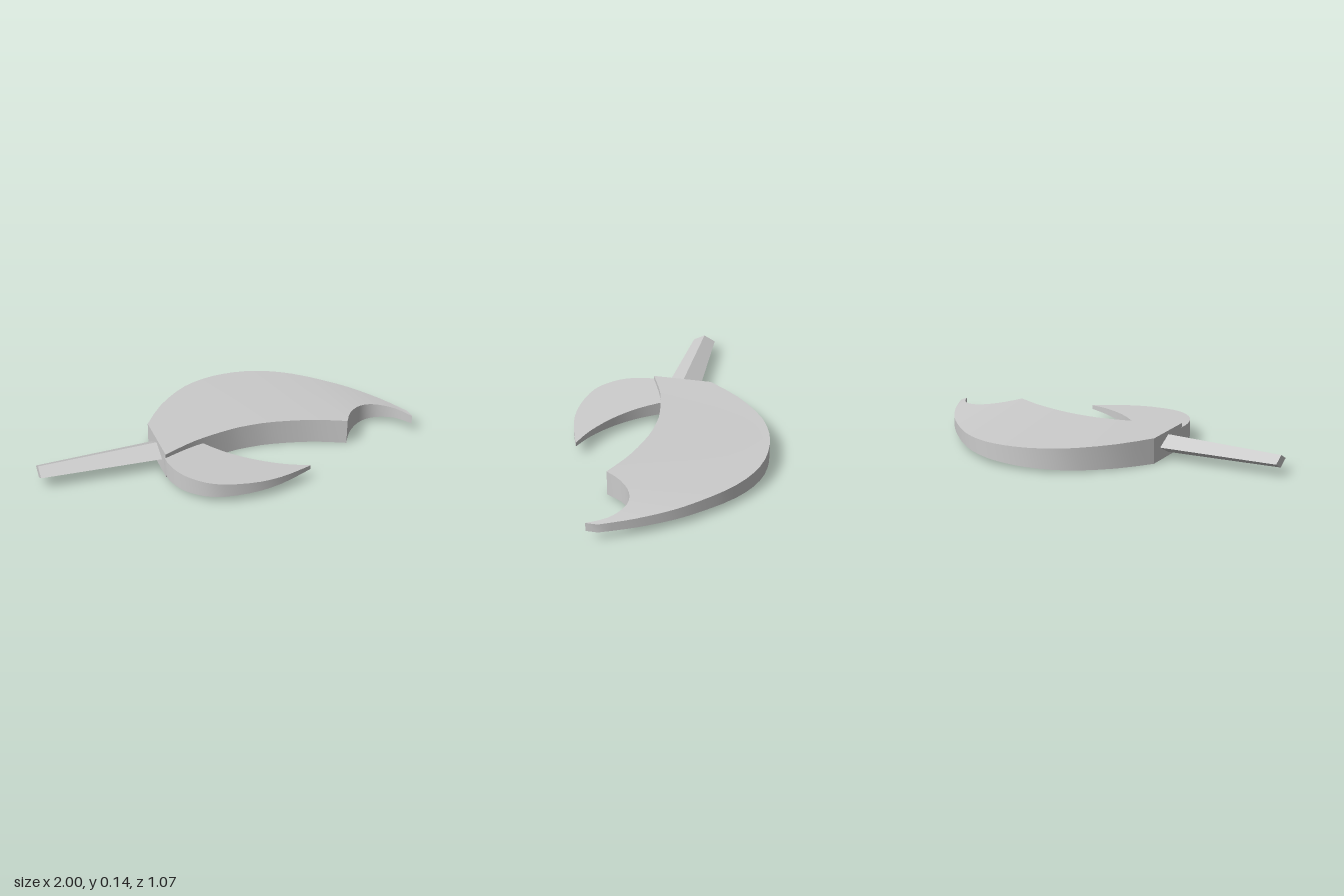
import * as THREE from 'three';
import { toCreasedNormals } from 'three/addons/utils/BufferGeometryUtils.js';

const MID = 0.0675; // height of the flat symmetry plane
const material = new THREE.MeshStandardMaterial({ color: 0xcccccc });

// Closed skin through four-cornered rings of [x, y, z], capped at both ends.
function loft(name, rings) {
  const pos = [];
  const tri = (...pts) => pts.forEach((p) => pos.push(...p));
  for (let s = 0; s < rings.length - 1; s++) {
    const a = rings[s], b = rings[s + 1];
    for (let i = 0; i < 4; i++) {
      const j = (i + 1) % 4;
      tri(a[i], b[i], a[j]);
      tri(b[i], b[j], a[j]);
    }
  }
  const a = rings[0], b = rings[rings.length - 1];
  tri(a[0], a[1], a[2]);
  tri(a[0], a[2], a[3]);
  tri(b[0], b[2], b[1]);
  tri(b[0], b[3], b[2]);
  const geo = new THREE.BufferGeometry();
  geo.setAttribute('position', new THREE.Float32BufferAttribute(pos, 3));
  const mesh = new THREE.Mesh(toCreasedNormals(geo, Math.PI / 7), material);
  mesh.name = name;
  return mesh;
}

const spline = (pts) => new THREE.SplineCurve(pts.map(([x, z]) => new THREE.Vector2(x, z)));

// z of a plan curve at a given x
function curveAt(pts) {
  const p = spline(pts).getPoints(200);
  return (x) => {
    let i = 0;
    while (i < p.length - 2 && p[i + 1].x < x) i++;
    const t = THREE.MathUtils.clamp((x - p[i].x) / (p[i + 1].x - p[i].x), 0, 1);
    return p[i].y + (p[i + 1].y - p[i].y) * t;
  };
}

// Slab section between plan points p and q, with half thickness hp and hq
const slab = (p, hp, q, hq) => [
  [p.x, MID + hp, p.y], [q.x, MID + hq, q.y], [q.x, MID - hq, q.y], [p.x, MID - hp, p.y],
];

// Broad crescent blade: rim thins all the way, inner edge only past the notch
function makeBlade() {
  const rim = curveAt([[-0.38, -0.12], [-0.29, -0.25], [-0.2, -0.35], [-0.07, -0.455], [0.07, -0.515],
    [0.2, -0.535], [0.33, -0.527], [0.45, -0.49], [0.57, -0.42], [0.69, -0.315], [0.81, -0.185],
    [0.92, -0.02], [1, 0.14]]);
  const inner = curveAt([[-0.38, 0.2], [-0.2, 0.123], [0, 0.078], [0.12, 0.07], [0.25, 0.08], [0.45, 0.128], [0.62, 0.2]]);
  const notch = curveAt([[0.62, 0.2], [0.67, 0.12], [0.74, 0.06], [0.81, 0.04], [0.88, 0.058], [0.95, 0.112], [1, 0.2]]);
  const rings = [];
  const N = 16, M = 14;
  for (let i = 0; i <= N + M; i++) {
    const x = i <= N ? -0.38 + i / N : 0.62 + (0.38 * (i - N)) / M;
    const z = i <= N ? inner(x) : notch(x);
    const hInner = THREE.MathUtils.mapLinear(Math.max(x, 0.62), 0.62, 1, 0.0675, 0.0225);
    const hRim = THREE.MathUtils.mapLinear(x, -0.38, 1, 0.0675, 0.0225);
    rings.push(slab(new THREE.Vector2(x, z), hInner, new THREE.Vector2(x, rim(x)), hRim));
  }
  return loft('blade', rings);
}

// Curved hook growing out of the blade and tapering to a point
function makeHook() {
  const outer = spline([[-0.375, 0.14], [-0.385, 0.23], [-0.36, 0.34], [-0.3, 0.43], [-0.2, 0.5],
    [-0.03, 0.53], [0.13, 0.513], [0.305, 0.452]]);
  const inner = spline([[-0.17, 0.08], [-0.13, 0.14], [-0.08, 0.205], [-0.02, 0.267], [0.05, 0.325],
    [0.13, 0.377], [0.21, 0.417], [0.305, 0.449]]);
  const rings = [];
  for (let i = 0; i <= 20; i++) {
    const p = outer.getPoint(i / 20), q = inner.getPoint(i / 20);
    const h = (x, x0) => THREE.MathUtils.mapLinear(x, x0, 0.305, 0.0475, 0.011);
    rings.push(slab(p, h(p.x, -0.385), q, h(q.x, -0.385)));
  }
  return loft('hook', rings);
}

// Tapered handle with a diamond section
function makeHandle() {
  const ring = (x, w, h) => [[x, MID, 0.04 + w], [x, MID + h, 0.04], [x, MID, 0.04 - w], [x, MID - h, 0.04]];
  return loft('handle', [ring(-1, 0.0625, 0.0325), ring(-0.37, 0.093, 0.048)]);
}

export function createModel() {
  const model = new THREE.Group();
  model.name = 'crescentBladeWithHandle';
  model.add(makeBlade(), makeHook(), makeHandle());
  return model;
}
